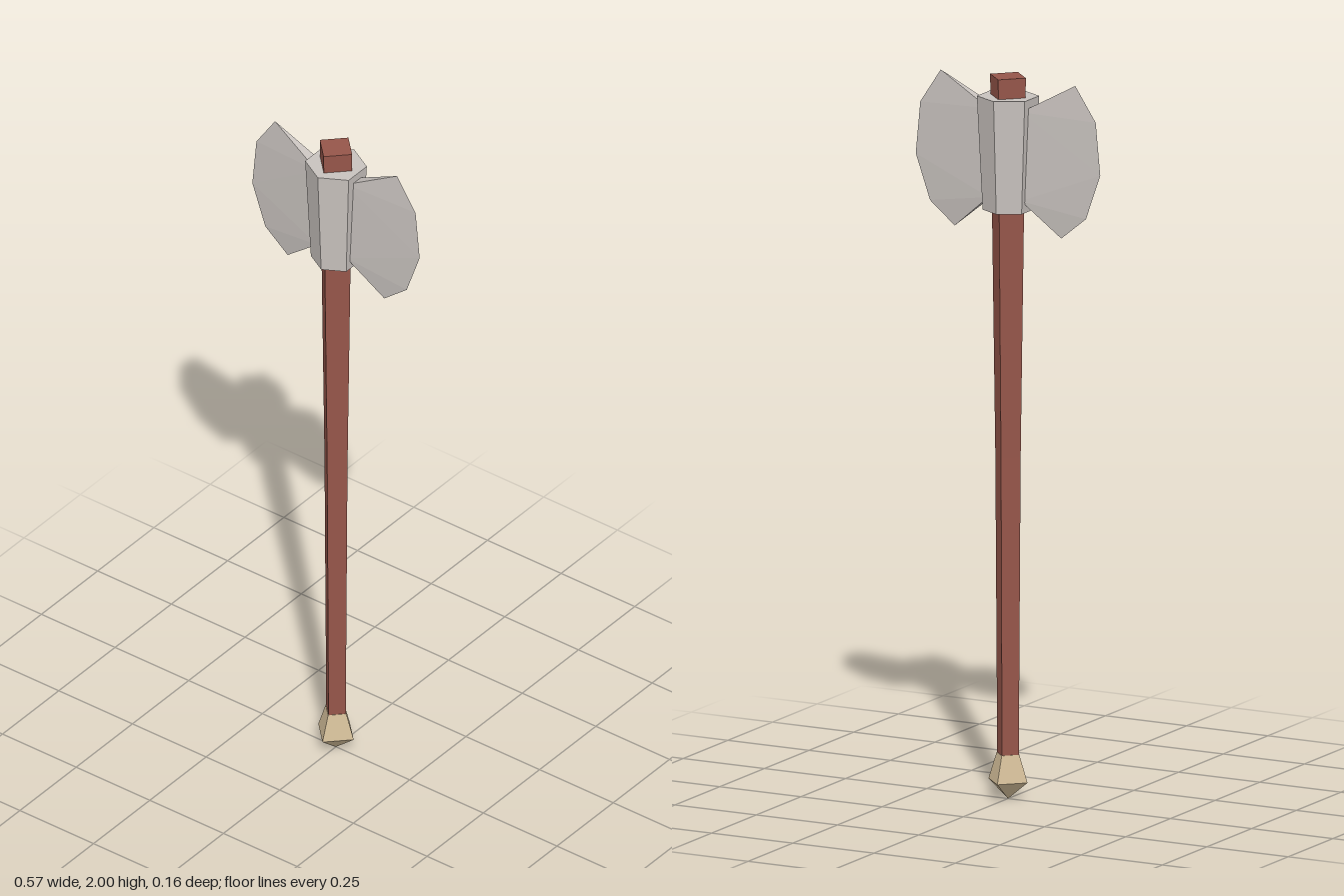
import * as THREE from 'three';

const flat = (name, color) => {
  const m = new THREE.MeshStandardMaterial({ color, flatShading: true });
  m.name = name;
  return m;
};

// Faceted solid of revolution; profile runs from bottom to top as [radius, y]
function turned(name, profile, sides, material) {
  const pts = profile.map(([r, y]) => new THREE.Vector2(r, y));
  const mesh = new THREE.Mesh(new THREE.LatheGeometry(pts, sides), material);
  mesh.name = name;
  return mesh;
}

// Wedge blade: thick at the root, thinning to a sharp curved rim
function bladeGeometry() {
  const root = { x: 0.05, top: 1.909, bottom: 1.663, z: 0.019 };
  const rim = [[0.207, 1.995], [0.27, 1.9], [0.284, 1.755], [0.24, 1.63], [0.164, 1.568]]
    .map(([x, y]) => [x, y, 0]);
  const corner = (y, side) => [root.x, y, root.z * side];
  const tris = [];
  for (const side of [1, -1]) {
    const top = corner(root.top, side), bottom = corner(root.bottom, side);
    const face = (a, b, c) => tris.push(...(side > 0 ? [a, b, c] : [a, c, b]));
    face(top, rim[1], rim[0]);
    face(top, rim[2], rim[1]);
    face(top, bottom, rim[2]);
    face(bottom, rim[3], rim[2]);
    face(bottom, rim[4], rim[3]);
  }
  // Upper and lower edges
  tris.push(corner(root.top, 1), rim[0], corner(root.top, -1));
  tris.push(corner(root.bottom, 1), corner(root.bottom, -1), rim[4]);
  const g = new THREE.BufferGeometry();
  g.setAttribute('position', new THREE.Float32BufferAttribute(tris.flat(), 3));
  g.computeVertexNormals();
  return g;
}

export function createModel() {
  const wood = flat('red brown wood', 0x96564a);
  const steel = flat('pale steel', 0xc8c2be);
  const bone = flat('tan pommel', 0xd2bd98);

  const model = new THREE.Group();
  model.name = 'doubleAxe';

  // Four-sided shaft, widening towards the head
  model.add(turned('handle', [[0.033, 0.1], [0.039, 0.95], [0.055, 2], [0, 2]], 4, wood));

  // Pointed end cap
  model.add(turned('pommel', [[0, 0], [0.06, 0.05], [0.035, 0.125], [0, 0.125]], 4, bone));

  // Six-sided collar holding the blades
  const collar = turned('collar', [[0, 1.63], [0.066, 1.63], [0.081, 1.945], [0, 1.945]], 6, steel);
  collar.scale.x = 1.05;
  model.add(collar);

  // Matching blades on both sides
  const geometry = bladeGeometry();
  for (const [name, turn] of [['leftBlade', 0], ['rightBlade', Math.PI]]) {
    const blade = new THREE.Mesh(geometry, steel);
    blade.name = name;
    blade.rotation.y = turn;
    model.add(blade);
  }
  return model;
}
